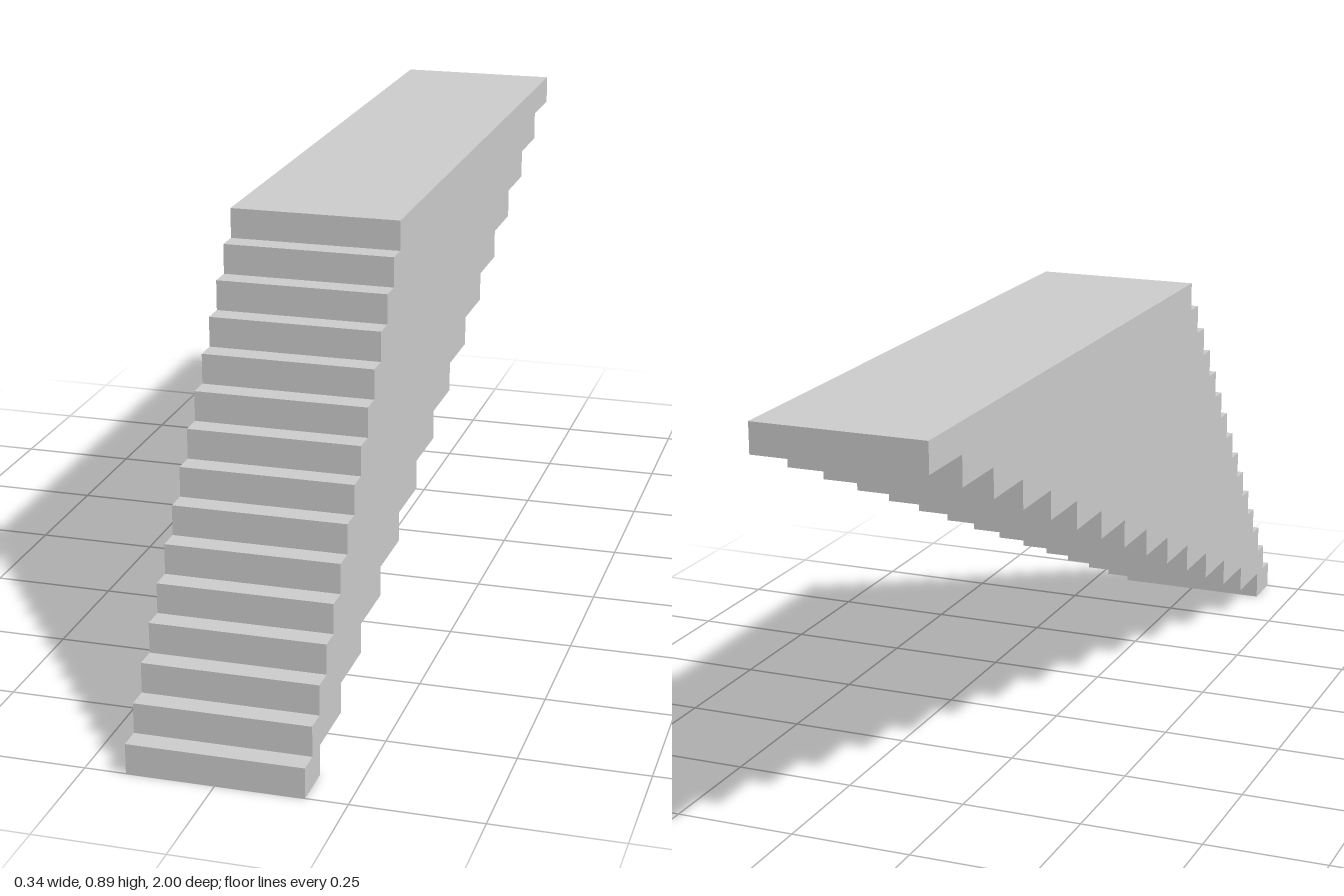
import * as THREE from 'three';

const STEPS = 15;
const WIDTH = 0.34;
const RISE = 0.895 / STEPS;
const RUN = 1 / 22; // tread depth on the front side

// Side outline: steep treads up the front, long overhanging steps down the back
function sideOutline() {
  const shape = new THREE.Shape();
  const front = (i) => 1 - RUN * i;
  const back = (i) => 1 - RUN * (2 + 3 * i);
  shape.moveTo(front(0), 0);
  for (let i = 0; i < STEPS; i++) {
    if (i > 0) shape.lineTo(front(i), i * RISE);
    shape.lineTo(front(i), (i + 1) * RISE);
  }
  for (let i = STEPS - 1; i >= 0; i--) {
    shape.lineTo(back(i), (i + 1) * RISE);
    shape.lineTo(back(i), i * RISE);
  }
  shape.closePath();
  return shape;
}

export function createModel() {
  const model = new THREE.Group();
  model.name = 'staircase';

  // Extrude across the width, then turn the outline's x axis onto z
  const geometry = new THREE.ExtrudeGeometry(sideOutline(), { depth: WIDTH, bevelEnabled: false });
  geometry.translate(0, 0, -WIDTH / 2);
  geometry.rotateY(-Math.PI / 2);

  const material = new THREE.MeshStandardMaterial({ color: 0xcccccc, flatShading: true });
  const stairs = new THREE.Mesh(geometry, material);
  stairs.name = 'steppedBody';
  model.add(stairs);
  return model;
}
